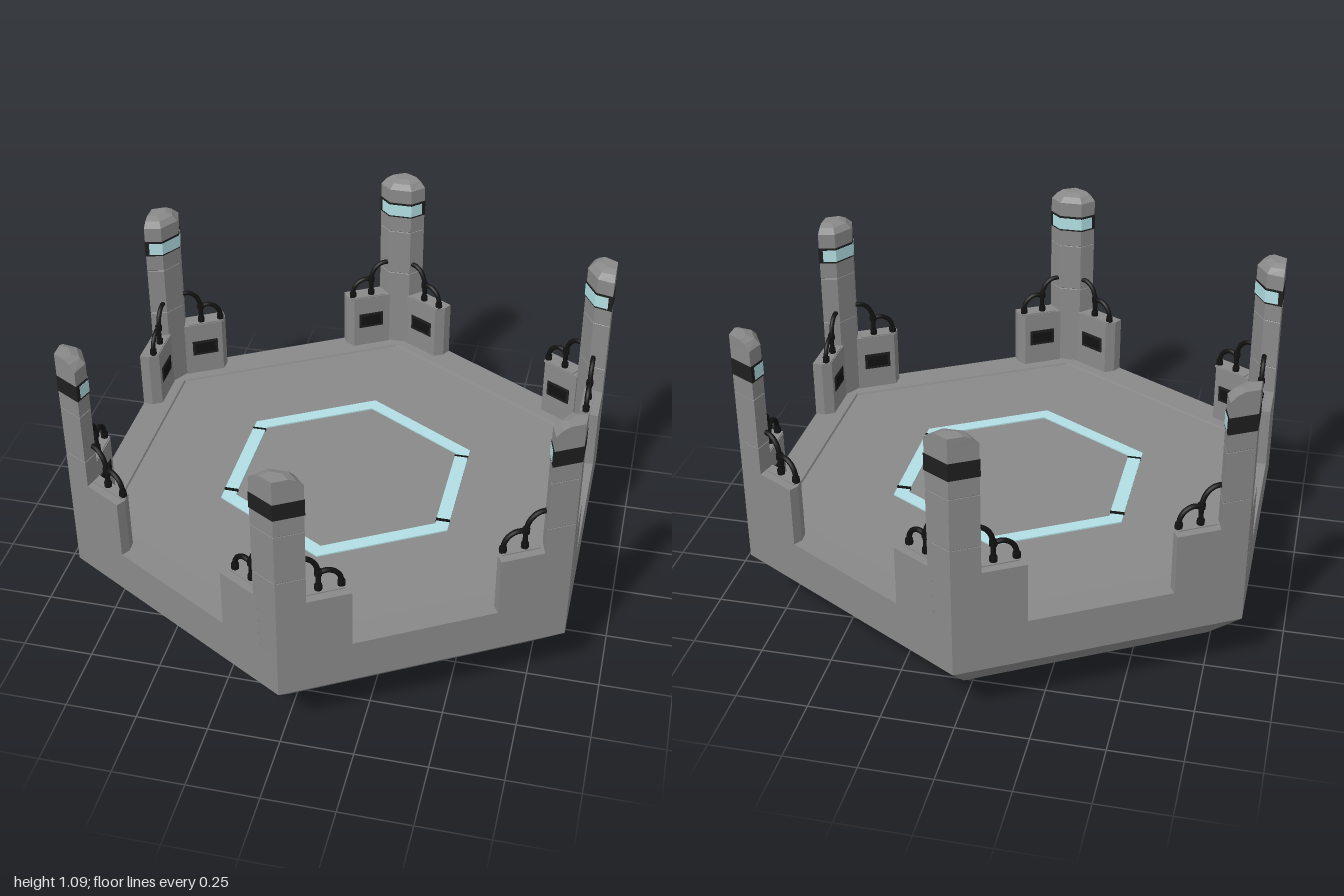
import * as THREE from 'three';

const mat = (color) => new THREE.MeshStandardMaterial({ color, flatShading: true });
const grey = mat(0x898989);
const dark = mat(0x1e1e1e);
const black = mat(0x121212);
const teal = mat(0xb2dfe4);
const pipeMat = new THREE.MeshStandardMaterial({ color: 0x121212 });

function add(parent, name, geometry, material, x = 0, y = 0, z = 0) {
  const mesh = new THREE.Mesh(geometry, material);
  mesh.name = name;
  mesh.position.set(x, y, z);
  parent.add(mesh);
  return mesh;
}

// Six-sided solid of revolution with a corner on +z
const hexLathe = (profile) =>
  new THREE.LatheGeometry(profile.map(([r, y]) => new THREE.Vector2(r, y)), 6);

// Upright prism from an [x, z] outline
function prism(outline, y0, y1) {
  const shape = new THREE.Shape(outline.map(([x, z]) => new THREE.Vector2(x, -z)));
  return new THREE.ExtrudeGeometry(shape, { depth: y1 - y0, bevelEnabled: false })
    .rotateX(-Math.PI / 2).translate(0, y0, 0);
}

// Skin through stacked outlines, closed at the top
function loft(levels) {
  const pos = [];
  const tri = (a, b, c) => pos.push(...a, ...b, ...c);
  const rings = levels.map(([y, outline]) => outline.map(([x, z]) => [x, y, z]));
  const n = rings[0].length;
  for (let k = 0; k < rings.length - 1; k++) {
    for (let i = 0; i < n; i++) {
      const j = (i + 1) % n;
      const [lo, hi] = [rings[k], rings[k + 1]];
      tri(lo[i], lo[j], hi[j]);
      tri(lo[i], hi[j], hi[i]);
    }
  }
  const top = rings[rings.length - 1];
  for (let i = 1; i < n - 1; i++) tri(top[0], top[i], top[i + 1]);
  const g = new THREE.BufferGeometry();
  g.setAttribute('position', new THREE.Float32BufferAttribute(pos, 3));
  g.computeVertexNormals();
  return g;
}

// Column outline in the corner at z = 1, counter-clockwise from above
const outline = [[0, 1], [0.086, 0.95], [0.042, 0.906], [-0.042, 0.906], [-0.086, 0.95]];
const scaled = (s) => outline.map(([x, z]) => [x * s, 0.955 + (z - 0.955) * s]);

function createColumn() {
  const column = new THREE.Group();
  column.name = 'column';
  const levels = [[0.35, outline]];
  for (const y of [0.69, 0.875]) {
    levels.push([y - 0.002, outline], [y, scaled(0.97)], [y + 0.002, outline]);
  }
  // Domed cap, upright at the outer corner
  levels.push([1.055, outline],
    [1.075, [[0, 1], [0.066, 0.962], [0.032, 0.922], [-0.032, 0.922], [-0.066, 0.962]]],
    [1.085, [[0, 1], [0.045, 0.974], [0.02, 0.948], [-0.02, 0.948], [-0.045, 0.974]]]);
  add(column, 'columnShaft', loft(levels), grey);
  add(column, 'columnBand', prism(scaled(1.03), 0.94, 1.0), dark);
  // Light strip on the inner faces
  add(column, 'columnLight',
    prism([[0.078, 0.938], [0.043, 0.903], [-0.043, 0.903], [-0.078, 0.938]], 0.946, 0.992), teal);
  return column;
}

// Low block running along the wall from a column; side is +1 or -1
function createPedestal(side) {
  const g = new THREE.Group();
  g.name = 'pedestal';
  g.position.z = 1;
  g.rotation.y = side * Math.PI / 6;
  const plan = [[0.08, 0], [0.25, 0], [0.25, -0.035], [0.228, -0.068], [0.08, -0.068]];
  add(g, 'pedestalBlock', prism(plan.map(([x, z]) => [x * side, z]), 0.35, 0.59), grey);
  add(g, 'screenFrame', new THREE.BoxGeometry(0.1, 0.062, 0.008), dark, side * 0.158, 0.485, -0.067);
  add(g, 'screen', new THREE.BoxGeometry(0.08, 0.042, 0.012), black, side * 0.158, 0.485, -0.067);

  // Pad under the pipes
  const d = -0.047;
  add(g, 'pipePad', new THREE.BoxGeometry(0.135, 0.008, 0.036), grey, side * 0.168, 0.59, d);

  // Two bent pipes: column to block, and a branch off the first
  const paths = [
    [[0.075, 0.73], [0.11, 0.728], [0.135, 0.71], [0.15, 0.675], [0.152, 0.59]],
    [[0.152, 0.662], [0.185, 0.665], [0.212, 0.65], [0.226, 0.625], [0.228, 0.585]],
  ];
  for (const path of paths) {
    const curve = new THREE.CatmullRomCurve3(path.map(([x, y]) => new THREE.Vector3(x * side, y, d)));
    add(g, 'pipe', new THREE.TubeGeometry(curve, 20, 0.009, 8), pipeMat);
  }
  for (const [x, y] of [[0.152, 0.602], [0.152, 0.662], [0.228, 0.602]]) {
    add(g, 'pipeCollar', new THREE.CylinderGeometry(0.013, 0.013, 0.02, 10), pipeMat, x * side, y, d);
  }
  return g;
}

export function createModel() {
  const model = new THREE.Group();
  model.name = 'hexagonalPlatform';

  // Hull with recessed underside and a faint step around the floor
  add(model, 'platform', hexLathe([
    [0, 0.05], [0.34, 0.05], [0.51, 0], [0.866, 0.09], [1, 0.215], [1, 0.373],
    [0.88, 0.37], [0.876, 0.363], [0, 0.363],
  ]), grey);

  // Glowing floor ring, with raised side strips between dark joints
  add(model, 'floorRing', hexLathe([[0.475, 0.35], [0.475, 0.368], [0.42, 0.368], [0.42, 0.35]]), teal);
  for (const x of [-0.387, 0.387]) {
    add(model, 'ringStrip', new THREE.BoxGeometry(0.048, 0.02, 0.376), teal, x, 0.362, 0);
    for (const z of [-0.19, 0.19]) {
      add(model, 'ringJoint', new THREE.BoxGeometry(0.05, 0.02, 0.008), black, x, 0.364, z);
    }
  }

  // One column with two pedestals on every corner
  for (let i = 0; i < 6; i++) {
    const corner = new THREE.Group();
    corner.name = 'corner';
    corner.rotation.y = i * Math.PI / 3;
    corner.add(createColumn(), createPedestal(1), createPedestal(-1));
    model.add(corner);
  }
  return model;
}
